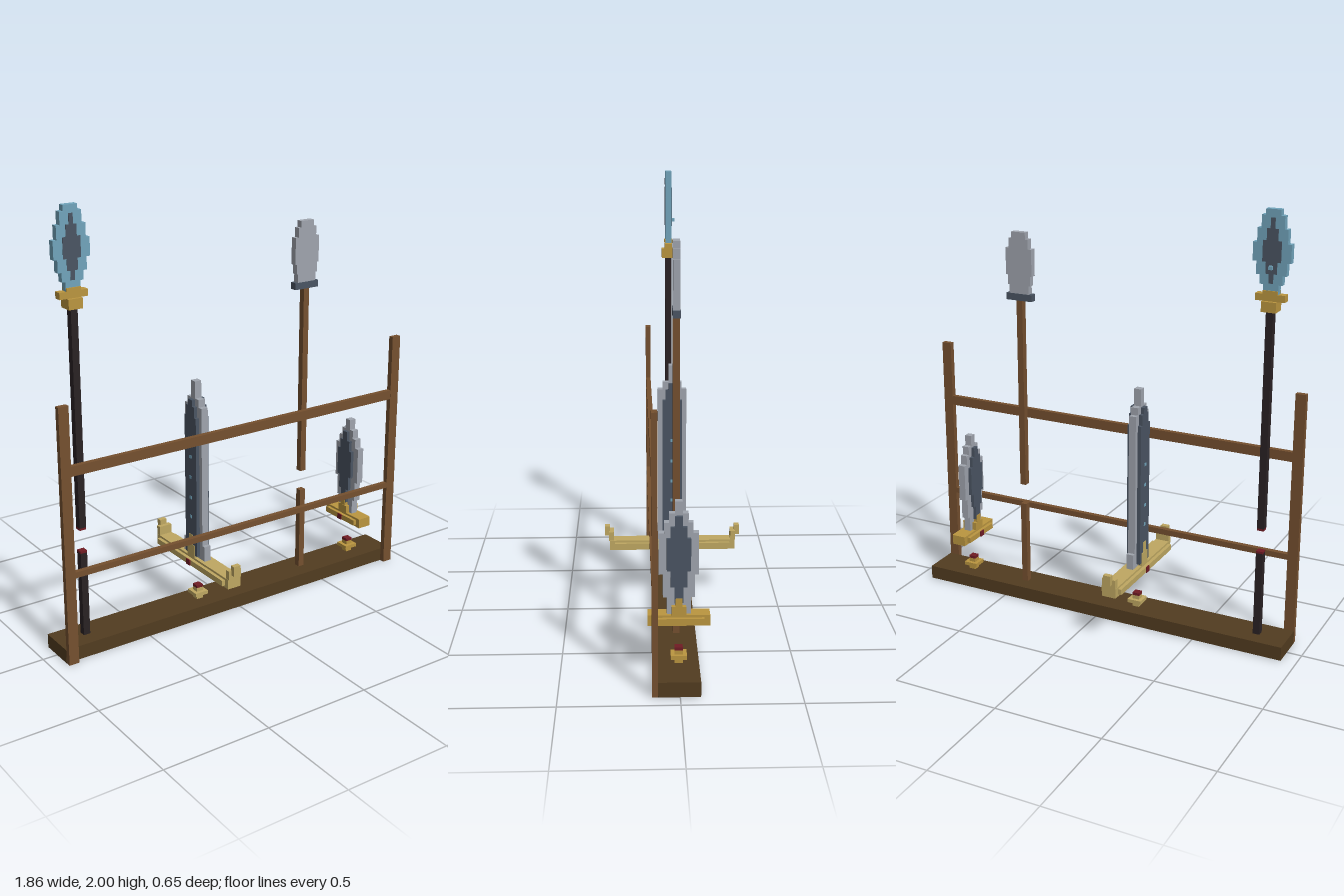
import * as THREE from 'three';

const mat = (name, color) => {
  const m = new THREE.MeshStandardMaterial({ color });
  m.name = name;
  return m;
};

export function createModel() {
  const root = new THREE.Group();
  root.name = 'weaponRack';
  const wood = mat('wood', 0x75502f), darkWood = mat('darkWood', 0x523c20);
  const steel = mat('steel', 0xa0a5ae), slate = mat('slate', 0x4b5563);
  const blue = mat('blueSteel', 0x72a5bc), gold = mat('gold', 0xbb9640);
  const paleGold = mat('paleGold', 0xbfa862), black = mat('blackShaft', 0x2a2224);
  const red = mat('darkRed', 0x701c24);

  // box given by its minimum and maximum corners
  const box = (parent, name, m, x0, x1, y0, y1, z0, z1) => {
    const mesh = new THREE.Mesh(new THREE.BoxGeometry(x1 - x0, y1 - y0, z1 - z0), m);
    mesh.position.set((x0 + x1) / 2, (y0 + y1) / 2, (z0 + z1) / 2);
    mesh.name = name;
    parent.add(mesh);
  };
  // box centred on the weapon axis, given by half sizes
  const block = (parent, name, m, hx, y0, y1, hz) => box(parent, name, m, -hx, hx, y0, y1, -hz, hz);

  // stepped silhouette: widths[i] is the half width between ys[i] and ys[i + 1]
  const steppedPlate = (parent, name, m, ys, widths, halfThick, sideways) => {
    const right = [];
    widths.forEach((w, i) => right.push([w, ys[i]], [w, ys[i + 1]]));
    const left = right.map(([x, y]) => [-x, y]).reverse();
    const shape = new THREE.Shape([...right, ...left].map(([x, y]) => new THREE.Vector2(x, y)));
    const geo = new THREE.ExtrudeGeometry(shape, { depth: halfThick * 2, bevelEnabled: false });
    geo.translate(0, 0, -halfThick);
    if (sideways) geo.rotateY(Math.PI / 2);
    const mesh = new THREE.Mesh(geo, m);
    mesh.name = name;
    parent.add(mesh);
  };
  const weapon = (name, x) => {
    const g = new THREE.Group();
    g.name = name;
    g.position.x = x;
    root.add(g);
    return g;
  };

  // rack
  box(root, 'base', darkWood, -0.93, 0.93, 0, 0.065, -0.085, 0.09);
  for (const s of [-1, 1]) box(root, 'post', wood, s * 0.905 - 0.024, s * 0.905 + 0.024, 0, 1.195, 0.09, 0.115);
  box(root, 'upperRail', wood, -0.882, 0.882, 0.88, 0.925, 0.091, 0.114);
  box(root, 'lowerRail', wood, -0.882, 0.882, 0.41, 0.437, 0.091, 0.114);

  // glaive with blue blade
  const glaive = weapon('glaive', -0.785);
  block(glaive, 'lowerShaft', black, 0.016, 0.065, 0.465, 0.016);
  block(glaive, 'lowerShaftEnd', red, 0.016, 0.465, 0.475, 0.016);
  block(glaive, 'upperShaftEnd', red, 0.016, 0.575, 0.585, 0.016);
  block(glaive, 'upperShaft', black, 0.016, 0.585, 1.57, 0.016);
  block(glaive, 'collar', gold, 0.033, 1.57, 1.615, 0.033);
  block(glaive, 'collarBar', gold, 0.066, 1.615, 1.645, 0.018);
  block(glaive, 'socket', gold, 0.033, 1.645, 1.66, 0.02);
  steppedPlate(glaive, 'blade', blue, [1.645, 1.685, 1.725, 1.78, 1.86, 1.92, 1.975, 2],
    [0.034, 0.05, 0.067, 0.084, 0.067, 0.05, 0.033], 0.015);
  steppedPlate(glaive, 'bladeCore', slate, [1.69, 1.73, 1.78, 1.87, 1.92, 1.965],
    [0.01, 0.025, 0.041, 0.025, 0.01], 0.017);
  box(glaive, 'barb', blue, -0.008, 0.008, 1.75, 1.766, -0.032, -0.015);

  // spear with grey blade
  const spear = weapon('spear', 0.425);
  block(spear, 'lowerShaft', wood, 0.015, 0.065, 0.475, 0.015);
  block(spear, 'upperShaft', wood, 0.015, 0.575, 1.483, 0.015);
  block(spear, 'guard', slate, 0.066, 1.483, 1.515, 0.017);
  steppedPlate(spear, 'blade', steel, [1.515, 1.555, 1.6, 1.725, 1.77, 1.8],
    [0.05, 0.058, 0.067, 0.05, 0.036], 0.015);

  // shared hilt of the sword and dagger; the grip is left open
  const hilt = (g, m, reach) => {
    block(g, 'pommel', m, 0.017, 0.065, 0.122, 0.017);
    block(g, 'pommelDisc', m, 0.034, 0.087, 0.104, 0.034);
    block(g, 'pommelCap', red, 0.017, 0.122, 0.135, 0.017);
    block(g, 'guard', m, 0.034, 0.24, 0.287, reach);
    block(g, 'guardRidge', m, 0.05, 0.25, 0.277, reach - 0.025);
    box(g, 'guardGem', red, -0.056, -0.05, 0.25, 0.277, -0.014, 0.014);
  };

  // sword, edge to the front
  const sword = weapon('sword', -0.18);
  hilt(sword, paleGold, 0.3);
  for (const s of [-1, 1]) {
    const z = s * 0.292, t = s * 0.311;
    box(sword, 'guardHorn', paleGold, -0.033, 0.033, 0.287, 0.33, z - 0.012, z + 0.012);
    box(sword, 'guardTip', paleGold, -0.018, 0.018, 0.308, 0.355, t - 0.012, t + 0.012);
  }
  block(sword, 'ricasso', paleGold, 0.037, 0.287, 0.35, 0.03);
  block(sword, 'ricassoTip', paleGold, 0.036, 0.35, 0.4, 0.015);
  steppedPlate(sword, 'blade', steel, [0.287, 0.36, 1.03, 1.065, 1.145], [0.085, 0.067, 0.045, 0.016], 0.017, true);
  steppedPlate(sword, 'bladeCore', slate, [0.3, 0.98, 1.03, 1.06], [0.046, 0.032, 0.016], 0.034, true);
  for (const y of [0.49, 0.585, 0.685, 0.785])
    block(sword, 'stud', blue, 0.036, y - 0.007, y + 0.007, 0.008);

  // dagger, edge to the front
  const dagger = weapon('dagger', 0.73);
  hilt(dagger, gold, 0.13);
  block(dagger, 'ricasso', gold, 0.037, 0.287, 0.325, 0.03);
  block(dagger, 'ricassoTip', gold, 0.036, 0.325, 0.36, 0.015);
  steppedPlate(dagger, 'blade', steel, [0.287, 0.36, 0.46, 0.64, 0.685, 0.725, 0.775],
    [0.05, 0.066, 0.083, 0.06, 0.04, 0.016], 0.017, true);
  steppedPlate(dagger, 'bladeCore', slate, [0.34, 0.41, 0.48, 0.62, 0.67, 0.715],
    [0.018, 0.034, 0.05, 0.034, 0.016], 0.033, true);

  return root;
}
